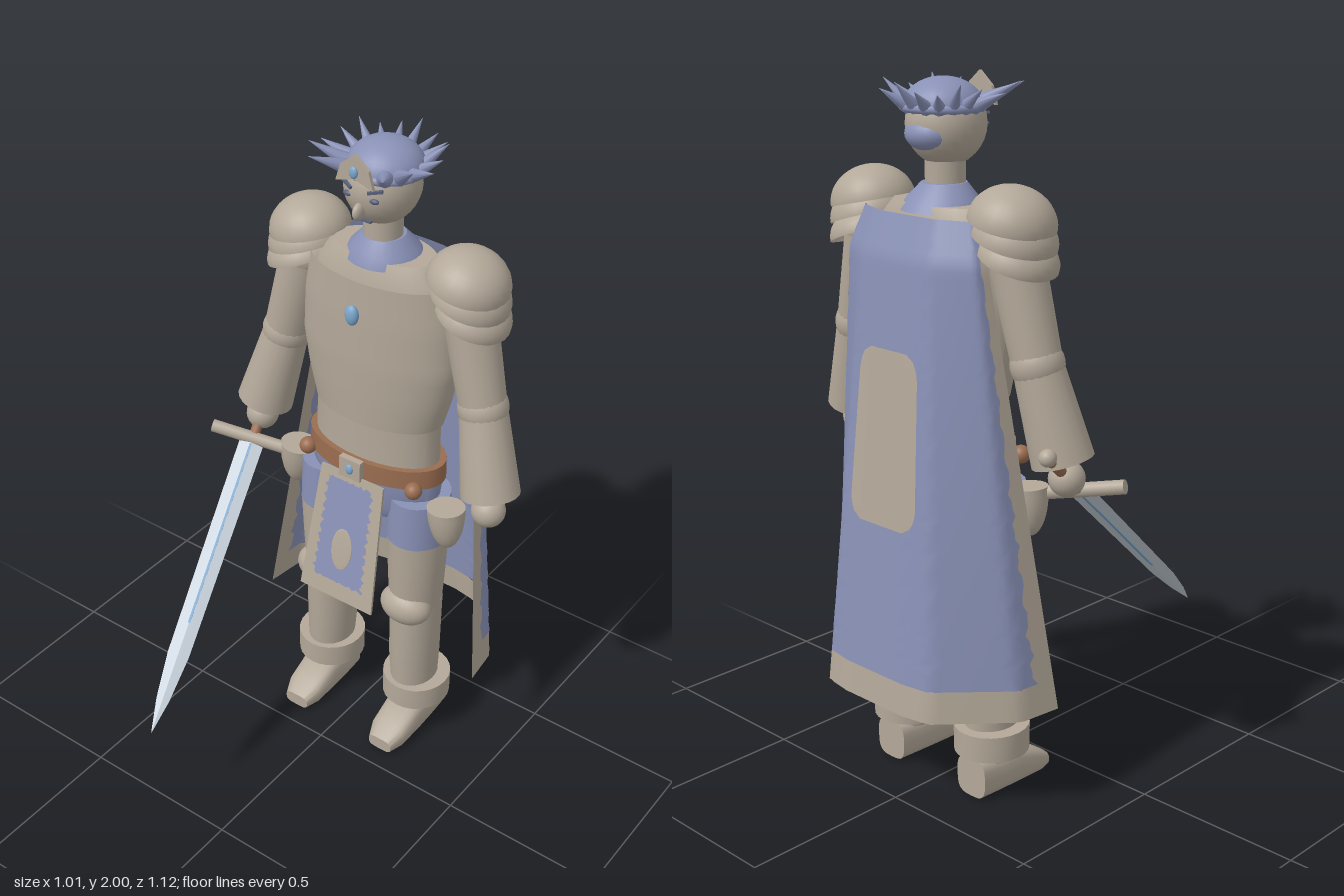
import * as THREE from 'three';
import { toCreasedNormals } from 'three/addons/utils/BufferGeometryUtils.js';

const mat = (name, color, side = THREE.FrontSide) => Object.assign(new THREE.MeshStandardMaterial({ color, side }), { name });
const M = {
  tan: mat('tan', 0xb3a899, THREE.DoubleSide),
  blue: mat('slate blue', 0x8991b6, THREE.DoubleSide),
  brown: mat('leather brown', 0x9a6d50),
  gem: mat('gem blue', 0x7aa6cc),
  steel: mat('blade steel', 0xc3ccd6),
  dark: mat('dark blue grey', 0x59627c),
};
const V = (x, y, z) => new THREE.Vector3(x, y, z);
const lerp = THREE.MathUtils.lerp;

// Closed loft through rings [cx, y, cz, rx, rz], listed upwards
function loft(rings, n = 24, pow = 1, crease = 0.7) {
  const pos = [], idx = [];
  const sq = (t) => Math.sign(t) * Math.abs(t) ** pow;
  for (const [cx, y, cz, rx, rz] of rings)
    for (let j = 0; j < n; j++) {
      const a = (j / n) * Math.PI * 2;
      pos.push(cx + rx * sq(Math.sin(a)), y, cz + rz * sq(Math.cos(a)));
    }
  const last = rings.length - 1, c0 = rings.length * n;
  for (const r of [rings[0], rings[last]]) pos.push(r[0], r[1], r[2]);
  for (let j = 0; j < n; j++) {
    const k = (j + 1) % n;
    for (let i = 0; i < last; i++) {
      const a = i * n + j, b = i * n + k;
      idx.push(a, b, b + n, a, b + n, a + n);
    }
    idx.push(c0, k, j, c0 + 1, last * n + j, last * n + k);
  }
  const g = new THREE.BufferGeometry();
  g.setAttribute('position', new THREE.Float32BufferAttribute(pos, 3));
  g.setIndex(idx);
  return toCreasedNormals(g, crease);
}

// Open sheet from a function of (s, t) in 0..1
function sheet(fn, ns, nt) {
  const g = new THREE.PlaneGeometry(1, 1, ns, nt), p = g.attributes.position, uv = g.attributes.uv;
  for (let i = 0; i < p.count; i++) p.setXYZ(i, ...fn(uv.getX(i), uv.getY(i)));
  g.computeVertexNormals();
  return g;
}

// Piecewise linear lookup in [key, value] pairs
function curve(pts, k) {
  let i = 1;
  while (i < pts.length - 1 && k > pts[i][0]) i++;
  const [a, b] = [pts[i - 1], pts[i]];
  return lerp(a[1], b[1], (k - a[0]) / (b[0] - a[0]));
}
const ragged = (t) => 0.6 * Math.sin(t * 61) + 0.4 * Math.sin(t * 137 + 1);

export function createModel() {
  const model = new THREE.Group();
  model.name = 'knight';
  const body = new THREE.Group();
  body.name = 'body';
  body.position.x = 0.018;
  model.add(body);

  const add = (name, geo, m, x = 0, y = 0, z = 0, parent = body) => {
    const o = new THREE.Mesh(geo, m);
    o.name = name;
    o.position.set(x, y, z);
    parent.add(o);
    return o;
  };
  const ball = (name, m, x, y, z, rx, ry = rx, rz = rx, parent = body) => {
    const o = add(name, new THREE.SphereGeometry(1, 24, 16), m, x, y, z, parent);
    o.scale.set(rx, ry, rz);
    return o;
  };
  // Tapered cylinder from a to b
  const limb = (name, m, a, b, ra, rb, parent = body, n = 20) => {
    const d = b.clone().sub(a), c = a.clone().add(b).multiplyScalar(0.5);
    const o = add(name, new THREE.CylinderGeometry(rb, ra, d.length(), n), m, c.x, c.y, c.z, parent);
    o.quaternion.setFromUnitVectors(V(0, 1, 0), d.normalize());
    return o;
  };
  const box = (name, m, x, y, z, w, h, d, parent) => add(name, new THREE.BoxGeometry(w, h, d), m, x, y, z, parent);

  // Torso, breastplate, collar, belt
  add('torso', loft([[0, 0.98, -0.255, 0.21, 0.11], [0, 1.16, -0.255, 0.205, 0.108], [0, 1.35, -0.26, 0.235, 0.115],
    [0, 1.55, -0.265, 0.23, 0.115], [0, 1.62, -0.27, 0.21, 0.11], [0, 1.67, -0.27, 0.16, 0.09]], 32), M.tan);
  const chest = [[1.16, 0.21], [1.25, 0.235], [1.36, 0.255], [1.5, 0.25], [1.62, 0.228]];
  add('breastplate', sheet((s, t) => {
    const y = lerp(1.16, 1.62, t), r = curve(chest, y), a = lerp(-1.75, 1.75, s);
    return [r * Math.sin(a), y, -0.26 + (0.085 + r * 0.18) * Math.cos(a)];
  }, 32, 16), M.tan);
  ball('chestGem', M.gem, 0, 1.525, -0.115, 0.021, 0.031, 0.016);
  add('collar', loft([[0, 1.65, -0.27, 0.115, 0.11], [0, 1.68, -0.265, 0.1, 0.095], [0, 1.72, -0.26, 0.062, 0.062]]), M.blue);
  limb('neck', M.tan, V(0, 1.68, -0.255), V(0, 1.8, -0.255), 0.055, 0.055);
  add('belt', loft([[0, 0.975, -0.255, 0.23, 0.127], [0, 1.037, -0.255, 0.228, 0.127]], 32), M.brown);
  box('buckle', M.tan, 0, 1.007, -0.122, 0.075, 0.066, 0.02);
  ball('buckleGem', M.gem, 0, 1.007, -0.112, 0.013, 0.017, 0.008);
  add('shorts', loft([[0, 0.83, -0.25, 0.15, 0.085], [0, 0.88, -0.25, 0.215, 0.1], [0, 0.98, -0.255, 0.222, 0.115]], 32), M.blue);

  // Head and face
  ball('head', M.tan, 0, 1.872, -0.25, 0.105, 0.112, 0.112);
  ball('backHair', M.blue, 0, 1.85, -0.3, 0.075, 0.05, 0.072);
  ball('nose', M.tan, 0, 1.828, -0.14, 0.014, 0.025, 0.024);
  box('mouth', M.dark, 0, 1.79, -0.17, 0.04, 0.006, 0.009);
  for (const s of [-1, 1]) {
    ball('eye', M.dark, s * 0.042, 1.866, -0.149, 0.015, 0.008, 0.008);
    box('brow', M.dark, s * 0.045, 1.893, -0.149, 0.042, 0.008, 0.009).rotation.set(0, s * 0.4, s * 0.2);
  }

  // Crown: cap, band and spikes that grow towards the front
  const domeGeo = new THREE.SphereGeometry(1, 24, 10, 0, Math.PI * 2, 0, Math.PI / 2);
  add('cap', domeGeo, M.blue, 0, 1.917, -0.26).scale.set(0.107, 0.077, 0.107);
  add('crownBand', new THREE.TorusGeometry(0.107, 0.011, 8, 32), M.blue, 0, 1.917, -0.26).rotation.x = Math.PI / 2;
  for (let i = 0; i < 15; i++) {
    const a = THREE.MathUtils.degToRad(32 + i * (296 / 14));
    const f = Math.max(0, Math.cos(a) + 0.15), r = 0.162 + 0.06 * f, k = 0.09;
    limb('crownSpike', M.blue, V(k * Math.sin(a), 1.918, -0.265 + k * Math.cos(a)),
      V(r * Math.sin(a), 1.972 + 0.015 * Math.sin(i * 2), -0.265 + r * Math.cos(a)), 0.02 + 0.007 * f, 0.0005, body, 10);
  }
  const outline = (pts) => new THREE.Shape(pts.map((p) => new THREE.Vector2(...p)));
  const crest = outline([[-0.06, -0.04], [0, -0.022], [0.06, -0.04], [0.045, 0.01], [0, 0.048], [-0.045, 0.01]]);
  add('crownCrest', new THREE.ExtrudeGeometry(crest, { depth: 0.01, bevelEnabled: false }), M.tan, 0, 1.952, -0.127);
  ball('crestGem', M.gem, 0, 1.95, -0.114, 0.013, 0.017, 0.008);

  // Half-bowl with a flat lid for the hip guards
  const bowl = [new THREE.Vector2(0, -1)];
  for (let i = 1; i <= 10; i++) bowl.push(new THREE.Vector2(Math.sin(i * Math.PI / 20), -Math.cos(i * Math.PI / 20)));
  bowl.push(new THREE.Vector2(0, 0.001));
  const bowlGeo = toCreasedNormals(new THREE.LatheGeometry(bowl, 20), 0.8);

  for (const s of [-1, 1]) {
    // Arms
    const shoulder = V(s * 0.272, 1.57, -0.275), elbow = V(s * 0.343, 1.285, -0.265), wrist = V(s * 0.405, 1.03, -0.233);
    ball('shoulder', M.tan, shoulder.x, shoulder.y, shoulder.z, 0.078);
    limb('upperArm', M.tan, shoulder, elbow, 0.076, 0.068);
    ball('elbow', M.tan, elbow.x, elbow.y, elbow.z, 0.073);
    limb('gauntlet', M.tan, elbow, wrist, 0.068, 0.086);
    ball('hand', M.tan, s * 0.409, 0.98, -0.222, 0.05);

    // Layered pauldrons
    for (const [x, y, r, h, tilt] of [[0.264, 1.642, 0.118, 0.1, 0.22], [0.273, 1.6, 0.115, 0.09, 0.3], [0.285, 1.55, 0.11, 0.08, 0.36]]) {
      const p = add('pauldronPlate', domeGeo, M.tan, s * x, y, -0.277);
      p.scale.set(r, h, r);
      p.rotation.z = -s * tilt;
    }

    // Hips
    ball('beltStud', M.brown, s * 0.19, 0.983, -0.165, 0.026);
    const hip = add('hipGuard', bowlGeo, M.tan, s * 0.268, 0.925, -0.222);
    hip.scale.set(0.058, 0.14, 0.055);
    hip.rotation.z = s * 0.08;

    // Legs
    const x = s * 0.16;
    add('shortsLeg', loft([[x, 0.77, -0.245, 0.092, 0.098], [x, 0.92, -0.25, 0.088, 0.1]]), M.blue);
    add('thigh', loft([[x, 0.5, -0.25, 0.077, 0.088], [x, 0.62, -0.247, 0.085, 0.092], [x, 0.77, -0.245, 0.091, 0.097]]), M.tan);
    ball('kneeGuard', M.tan, x, 0.517, -0.195, 0.085, 0.062, 0.06);
    add('shin', loft([[x + s * 0.006, 0.1, -0.255, 0.064, 0.08], [x, 0.3, -0.255, 0.075, 0.09], [x, 0.52, -0.252, 0.078, 0.09]]), M.tan);
    add('bootCuff', loft([[s * 0.168, 0.128, -0.262, 0.106, 0.11], [s * 0.168, 0.205, -0.262, 0.106, 0.11]]), M.tan);
    const foot = add('foot', loft([[0, -0.345, -0.06, 0.055, 0.06], [0, -0.28, -0.06, 0.06, 0.06], [0, -0.2, -0.06, 0.064, 0.06],
      [0, -0.11, -0.037, 0.06, 0.037], [0, -0.065, -0.022, 0.042, 0.022]], 24, 0.6), M.tan, s * 0.167);
    foot.rotation.x = Math.PI / 2;
  }

  // Tabard with ragged painted panel
  const tabard = new THREE.Group();
  tabard.name = 'tabard';
  tabard.position.set(0.005, 0.98, -0.128);
  tabard.rotation.x = -0.19;
  body.add(tabard);
  const cloth = outline([[-0.11, 0], [-0.132, -0.422], [0.132, -0.422], [0.11, 0]]);
  add('tabardCloth', new THREE.ExtrudeGeometry(cloth, { depth: 0.008, bevelEnabled: false }), M.tan, 0, 0, 0, tabard);
  add('tabardPanel', sheet((s, t) => {
    const w = lerp(0.088, 0.078, t), y = lerp(-0.365, -0.025, t);
    const edge = s < 0.5 ? -w + 0.009 * ragged(t) : w + 0.009 * ragged(t + 3);
    return [edge * Math.abs(2 * s - 1), y + 0.008 * ragged(s) * Math.abs(2 * t - 1), 0.011];
  }, 16, 40), M.blue, 0, 0, 0, tabard);
  ball('tabardEmblem', M.tan, 0, -0.25, 0.011, 0.037, 0.07, 0.003, tabard);

  // Cape: outline (width, depth fractions) swept down with growing size
  const outX = [[0, 0], [0.2, 0.29], [0.34, 0.52], [0.78, 0.96], [1, 1]];
  const outZ = [[0, 1], [0.2, 1], [0.34, 0.955], [0.78, 0.4], [1, 0]];
  const half = [[0.31, 0.392], [1.54, 0.25], [1.65, 0.21]];
  const back = [[0.31, -0.557], [1.54, -0.445], [1.65, -0.402]];
  const front = [[0.31, -0.23], [1.54, -0.35], [1.65, -0.335]];
  const capePatch = (name, m, u0, u1, y0, y1, off, nu, nv) =>
    add(name, sheet((s, t) => {
      const y = lerp(y0, y1, t), u = lerp(u0(t), u1(t), s), k = Math.abs(u);
      return [Math.sign(u) * curve(half, y) * curve(outX, k), y, lerp(curve(front, y), curve(back, y), curve(outZ, k)) - off];
    }, nu, nv), m);
  const edge = (s) => (t) => s * (0.885 + 0.022 * ragged(t * 1.3 + s));
  capePatch('cape', M.blue, edge(1), edge(-1), 0.4, 1.65, 0, 40, 60);
  for (const s of [-1, 1]) {
    const rim = () => s;
    capePatch('capeSideTrim', M.tan, s > 0 ? rim : edge(s), s > 0 ? edge(s) : rim, 0.4, 1.65, 0, 3, 60);
  }
  capePatch('capeHem', M.tan, () => 1, () => -1, 0.31, 0.4, 0, 40, 2);
  // Emblem half width, rounded off towards its top and bottom
  const round = (t) => {
    const c = Math.min(1, Math.max(0, (Math.abs(2 * t - 1) - 0.7) / 0.3));
    return 0.17 + 0.09 * Math.sqrt(1 - c * c);
  };
  capePatch('capeEmblem', M.tan, round, (t) => -round(t), 0.82, 1.3, 0.004, 20, 30);

  // Sword, pointing forward and down from the right hand
  const sword = new THREE.Group();
  sword.name = 'sword';
  sword.position.set(-0.377, 0.927, -0.155);
  const along = V(-0.202, 0.343, 0.562).sub(sword.position);
  const len = along.length();
  along.normalize();
  const across = V(0.235, -0.05, -0.095);
  across.addScaledVector(along, -across.dot(along)).normalize();
  sword.quaternion.setFromRotationMatrix(new THREE.Matrix4().makeBasis(across, along, across.clone().cross(along)));
  model.add(sword);
  add('blade', loft([[0, 0, 0, 0.038, 0.009], [0, 0.7, 0, 0.033, 0.008], [0, 0.84, 0, 0.02, 0.005], [0, len, 0, 0.001, 0.001]], 4, 1, 0.1), M.steel, 0, 0, 0, sword);
  box('fuller', M.gem, 0, 0.31, 0, 0.007, 0.58, 0.0185, sword);
  limb('guard', M.tan, V(-0.13, 0, 0), V(0.13, 0, 0), 0.02, 0.02, sword, 12);
  limb('grip', M.brown, V(0, -0.21, 0), V(0, 0, 0), 0.016, 0.016, sword, 12);
  ball('pommel', M.tan, 0, -0.225, 0, 0.024, 0.024, 0.024, sword);

  return model;
}
